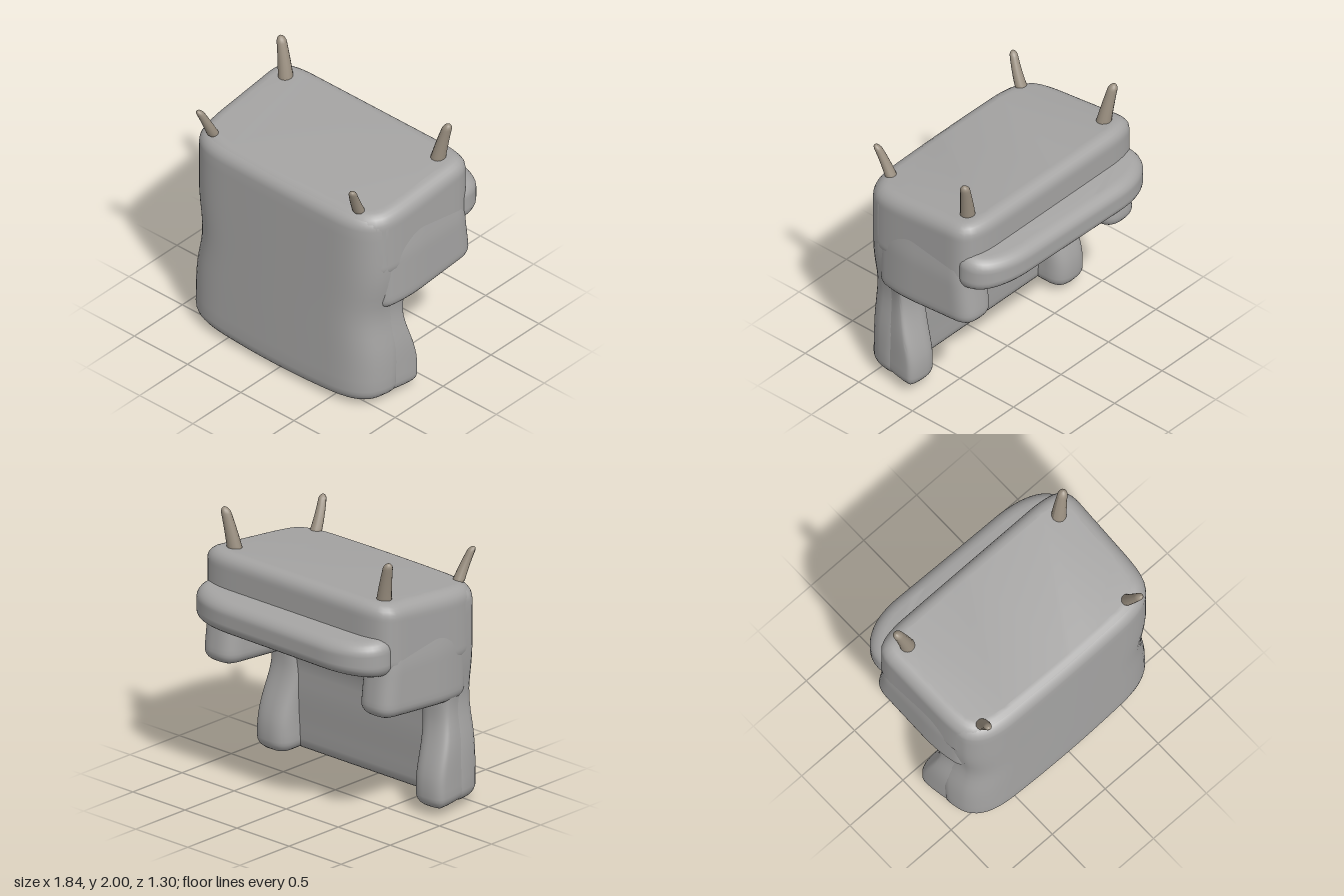
import * as THREE from 'three';
import { mergeVertices, toCreasedNormals } from 'three/addons/utils/BufferGeometryUtils.js';

const fabric = new THREE.MeshStandardMaterial({ color: 0xa5a4a3 });
const wood = new THREE.MeshStandardMaterial({ color: 0x9a8f80 });
const { smoothstep, clamp } = THREE.MathUtils;

// Closed outline with rounded corners; each point is [x, z, radius]
function roundedOutline(points, count) {
  const path = new THREE.Path();
  const n = points.length;
  points.forEach((p, i) => {
    const corner = new THREE.Vector2(p[0], p[1]);
    const toward = (q) => {
      const d = new THREE.Vector2(q[0], q[1]).sub(corner);
      return corner.clone().add(d.setLength(Math.min(p[2], d.length() * 0.48)));
    };
    const a = toward(points[(i + n - 1) % n]);
    const b = toward(points[(i + 1) % n]);
    if (i === 0) path.moveTo(a.x, a.y);
    else path.lineTo(a.x, a.y);
    path.quadraticCurveTo(corner.x, corner.y, b.x, b.y);
  });
  path.closePath();
  return new THREE.Shape(path.getSpacedPoints(count).slice(0, -1));
}

// Padded block: a plan outline raised from y0 to y1 with soft edges, then shaped by a rule
function padded(name, plan, y0, y1, bevel, rule) {
  const geo = new THREE.ExtrudeGeometry(roundedOutline(plan, 100), {
    depth: y1 - y0 - 2 * bevel, steps: 16, bevelEnabled: true, bevelSegments: 6,
    bevelSize: bevel, bevelThickness: bevel, bevelOffset: -bevel,
  });
  geo.rotateX(Math.PI / 2).translate(0, y1 - bevel, 0);
  const pos = geo.attributes.position;
  const v = new THREE.Vector3();
  for (let i = 0; i < pos.count; i++) {
    v.fromBufferAttribute(pos, i);
    rule(v);
    pos.setXYZ(i, v.x, v.y, v.z);
  }
  geo.deleteAttribute('normal');
  geo.deleteAttribute('uv');
  const mesh = new THREE.Mesh(toCreasedNormals(mergeVertices(geo, 1e-4), 0.9), fabric);
  mesh.name = name;
  return mesh;
}

const bow = (x) => 1 - Math.min(1, (x / 0.9) ** 2);

// Waist below the arms, and a slight lean of the lower half
function waist(v) {
  v.x *= 1 - 0.055 * Math.exp(-(((v.y - 0.76) / 0.24) ** 2));
  v.x -= 0.02 * (1 - smoothstep(v.y, 0.5, 1));
}

// Bowed back, and an inner face that curves forward into the seat
function shapeBackrest(v) {
  const y = v.y;
  if (v.z > 0.42) v.z += (0.028 - 0.008 * y) * bow(v.x) + 0.012 * (1 - y / 1.6);
  else v.z -= 0.03 * smoothstep(y, 0.1, 0.6) + 0.13 * smoothstep(y, 0.7, 1.12);
  v.y -= 0.045 * bow(v.x) * (1 - smoothstep(y, 0, 0.5)) * smoothstep(v.z, 0.32, 0.55);
  waist(v);
}

// Base plate slopes on both faces, with a gently curved back
function shapeSeatBase(v) {
  const t = (v.y - 1.08) / 0.54;
  v.y += t * 0.1 * (0.6 - v.z) + (1 - t) * 0.2 * clamp(0.15 - v.z, 0, 0.5);
  if (v.z > 0.42) v.z += 0.02 * bow(v.x);
  v.x += 0.006;
}

// Arms slope underneath and blend into the base plate above
function shapeArm(v) {
  const s = Math.sign(v.x);
  v.x += 0.008 - s * 0.025 * smoothstep(v.y, 1.2, 1.5);
  v.z -= 0.04 * (1 - smoothstep(v.y, 0.85, 1.3)) * (1 - smoothstep(v.z, -0.4, 0.1));
  v.y -= 0.08 * (v.z + 0.44) * (1 - smoothstep(v.y, 0.9, 1.3));
}

// Wings swell forward toward the head end
function shapeWing(v) {
  v.z += 0.12 * smoothstep(v.y, 0.2, 0.74) * (1 - smoothstep(v.z, 0.05, 0.45));
  waist(v);
}

// Tapered, slightly bent leg
function makeLeg(name, base, tip, r0, r1, bend) {
  const a = new THREE.Vector3(...base);
  const b = new THREE.Vector3(...tip);
  const mid = a.clone().lerp(b, 0.5);
  mid.x -= Math.sign(a.x) * bend;
  const curve = new THREE.QuadraticBezierCurve3(a, mid, b);
  const geo = new THREE.CapsuleGeometry(1, 6, 5, 14, 10);
  const pos = geo.attributes.position;
  const v = new THREE.Vector3();
  for (let i = 0; i < pos.count; i++) {
    v.fromBufferAttribute(pos, i);
    const t = (v.y + 4) / 8;
    const c = curve.getPoint(t);
    const r = r0 + (r1 - r0) * t;
    pos.setXYZ(i, c.x + v.x * r, c.y, c.z + v.z * r);
  }
  geo.computeVertexNormals();
  const leg = new THREE.Mesh(geo, wood);
  leg.name = name;
  return leg;
}

// Plan of an arm or wing on side s; its rear end tapers into the backrest
function sidePlan(s, inner, outer, front) {
  return [
    [inner, front, 0.14], [outer, front, 0.14], [outer, 0.22, 0.15],
    [outer - 0.055, 0.46, 0.1], [inner, 0.46, 0.12],
  ].map(([x, z, r]) => [s * x, z, r]);
}

// Rounded rear edge shared by the backrest and the seat base
function rearEdge(z) {
  const half = [[0.885, z - 0.2, 0.2], [0.82, z - 0.07, 0.14], [0.66, z, 0.16]];
  return [...half, ...half.map(([x, zz, r]) => [-x, zz, r]).reverse()];
}

export function createModel() {
  const group = new THREE.Group();
  group.name = 'upturnedArmchair';

  // Backrest slab
  const backPlan = [[-0.88, 0.28, 0.15], [0.88, 0.28, 0.15], ...rearEdge(0.61)];
  group.add(padded('backrest', backPlan, 0.045, 1.62, 0.1, shapeBackrest));

  // Seat base under the legs
  const basePlan = [
    [-0.9, -0.38, 0.12], [-0.74, -0.445, 0.15], [0.74, -0.445, 0.15], [0.9, -0.38, 0.12],
    ...rearEdge(0.6),
  ];
  group.add(padded('seatBase', basePlan, 1.08, 1.62, 0.1, shapeSeatBase));

  // Arms and backrest wings
  for (const s of [1, -1]) {
    const label = s > 0 ? 'left' : 'right';
    group.add(
      padded(label + 'Arm', sidePlan(s, 0.6, 0.905, -0.4), 0.87, 1.55, 0.085, shapeArm),
      padded(label + 'Wing', sidePlan(s, 0.62, 0.905, s > 0 ? 0.1 : 0.07), 0.05, 1.05, 0.09, shapeWing),
    );
  }

  // Seat cushion wrapping the arm fronts
  const cushionPlan = [
    [-0.88, -0.3, 0.1], [-0.87, -0.52, 0.15], [-0.64, -0.66, 0.2], [0, -0.645, 0.3],
    [0.64, -0.635, 0.2], [0.88, -0.52, 0.15], [0.91, -0.3, 0.1],
  ];
  group.add(padded('seatCushion', cushionPlan, 1.19, 1.465, 0.09, (v) => {
    v.y += 0.8 * (v.z + 0.45) * (v.y - 1.33);
  }));

  // Legs pointing upward
  group.add(
    makeLeg('leftFrontLeg', [0.71, 1.66, -0.26], [0.785, 2.0, -0.295], 0.058, 0.033, 0.01),
    makeLeg('rightFrontLeg', [-0.71, 1.66, -0.26], [-0.79, 2.0, -0.295], 0.058, 0.033, 0.01),
    makeLeg('leftBackLeg', [0.66, 1.6, 0.49], [0.695, 1.86, 0.61], 0.046, 0.027, 0.015),
    makeLeg('rightBackLeg', [-0.71, 1.6, 0.49], [-0.75, 1.86, 0.61], 0.046, 0.027, 0.015),
  );
  return group;
}
